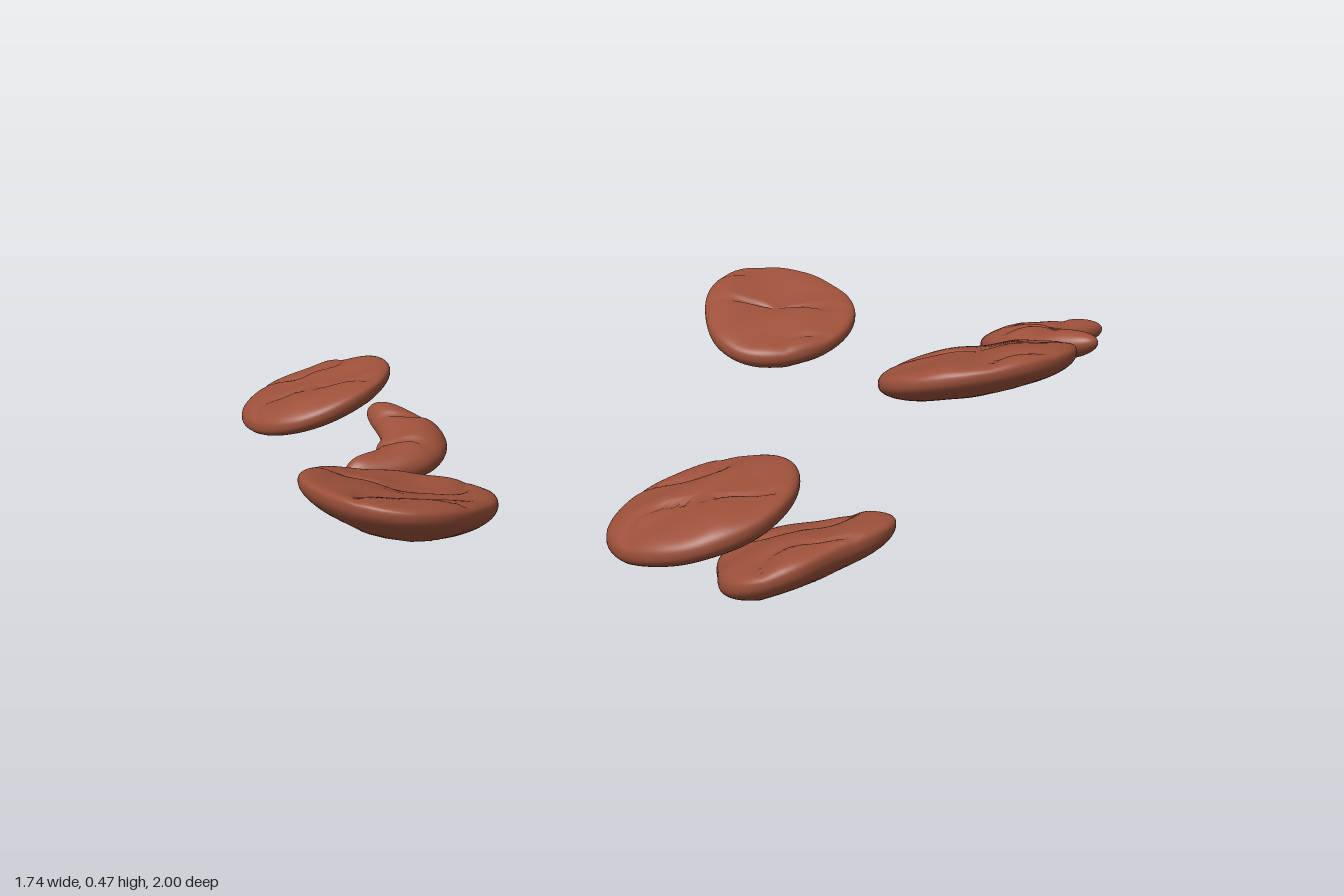
import * as THREE from 'three';
import { mergeVertices } from 'three/addons/utils/BufferGeometryUtils.js';

const RAD = Math.PI / 180;
const THICKNESS = 0.042; // half the height of a lump

// Round lumps: centre, radius r, oval [amount, degrees], three-sided bulge
// tri [amount, degrees], tilt [slope along x, slope along z], rim lift.
const ROUND = [
  { name: 'backRoundLump', at: [-0.04, 0.08, -0.815], r: 0.173, oval: [0.055, 90], tri: [0.03, -90], tilt: [0.25, 0.2], rim: 0.01 },
  { name: 'rightRoundLump', at: [-0.685, 0.2, 0.08], r: 0.187, oval: [0.03, 120], tri: [0.06, 135], tilt: [-0.22, 0], rim: 0.035 },
  { name: 'leftRoundLump', at: [0.47, 0.32, 0.13], r: 0.173, oval: [0.06, -55], tri: [0.05, 55], tilt: [0.26, -0.13], rim: 0.025 },
  { name: 'frontRightUpperLump', at: [-0.54, 0.28, 0.67], r: 0.168, oval: [0.04, 0], tri: [0.02, 120], tilt: [0.22, 0.2], rim: 0.01 },
  { name: 'frontRightLowerLump', at: [-0.39, 0.175, 0.76], r: 0.152, oval: [0.04, 30], tri: [0.13, 50], tilt: [0.08, 0.34], rim: 0.01 },
  { name: 'frontRoundLump', at: [0.13, 0.41, 0.82], r: 0.184, oval: [0.06, 10], tri: [0.03, -30], tilt: [-0.05, 0.26], rim: 0.01 },
];

// Curved lumps: bent path start, control, end (x, z) around a centre,
// half width at the middle and at the tips.
const CURVED = [
  { name: 'backCurvedLump', at: [-0.27, 0.125, -0.28], path: [[-0.2, -0.475], [-0.215, -0.185], [-0.44, -0.31]],
    width: 0.075, tip: 0.035, tilt: [0.14, -0.06], rim: 0.015 },
  { name: 'frontCurvedLump', at: [0.67, 0.32, 0.64], path: [[0.575, 0.85], [0.61, 0.488], [0.868, 0.72]],
    width: 0.09, tip: 0.04, tilt: [-0.13, 0.12], rim: 0.02 },
];

// Flat pebble whose radius varies around its centre
function roundShape({ r, oval, tri, rim }) {
  return (p) => {
    const angle = Math.atan2(p.z, p.x);
    const rho = Math.pow(Math.hypot(p.x, p.z), 0.76);
    const reach = r * rho * (1 + oval[0] * Math.cos(2 * (angle - oval[1] * RAD))
      + tri[0] * Math.cos(3 * (angle - tri[1] * RAD)));
    const height = Math.sign(p.y) * Math.pow(Math.abs(p.y), 0.8) * THICKNESS;
    p.set(Math.cos(angle) * reach, height + rim * (rho * rho - 0.5), Math.sin(angle) * reach);
  };
}

// Tapered crescent swept along a bent path, with lifted tips
function curvedShape({ at, path, width, tip, rim }) {
  const curve = new THREE.QuadraticBezierCurve(...path.map(([x, z]) => new THREE.Vector2(x - at[0], z - at[2])));
  return (p) => {
    const s = THREE.MathUtils.clamp(p.x, -1, 1);
    const ring = Math.max(Math.hypot(p.y, p.z), 1e-6);
    const end = Math.sqrt(1 - s ** 8);
    const belly = Math.cos(s * Math.PI / 2) ** 2;
    const centre = curve.getPoint((s + 1) / 2);
    const along = curve.getTangent((s + 1) / 2);
    const side = (p.z / ring) * end * (tip + (width - tip) * belly);
    const height = (p.y / ring) * end * THICKNESS * (0.8 + 0.2 * belly);
    p.set(centre.x - along.y * side, height + rim * (s * s - 0.5), centre.y + along.x * side);
  };
}

function makeLump(lump, base, shape, seed, material) {
  // weld the sphere first so shading is continuous
  base.deleteAttribute('uv');
  base.deleteAttribute('normal');
  const geo = mergeVertices(base, 1e-5);
  const pos = geo.attributes.position;
  const p = new THREE.Vector3();

  for (let i = 0; i < pos.count; i++) {
    p.fromBufferAttribute(pos, i);
    const up = p.y;
    shape(p);
    // soft dents and curved folds, strongest on the upper side
    const wave = Math.sin(p.x * 24 + seed * 2.1 + 2 * Math.sin(p.z * 17 + seed)) * Math.cos(p.z * 21 - seed * 1.3);
    const fold = (1 - Math.abs(Math.sin(p.x * 9 - p.z * 12 + seed + Math.sin(p.x * 20)))) ** 6;
    const relief = (wave * 0.007 - fold * 0.01) * (up > 0 ? up : -0.3 * up);
    p.y += relief + p.x * lump.tilt[0] + p.z * lump.tilt[1];
    pos.setXYZ(i, p.x, p.y, p.z);
  }
  geo.computeVertexNormals();

  const mesh = new THREE.Mesh(geo, material);
  mesh.name = lump.name;
  mesh.position.set(...lump.at);
  return mesh;
}

export function createModel() {
  const group = new THREE.Group();
  group.name = 'scatteredLumps';
  const clay = new THREE.MeshStandardMaterial({ color: 0x9c503a });

  ROUND.forEach((lump, i) => {
    group.add(makeLump(lump, new THREE.SphereGeometry(1, 72, 40), roundShape(lump), i + 1, clay));
  });
  // poles point along x, so they become the crescent tips
  CURVED.forEach((lump, i) => {
    const base = new THREE.SphereGeometry(1, 40, 64).rotateZ(Math.PI / 2);
    group.add(makeLump(lump, base, curvedShape(lump), i + 7, clay));
  });
  return group;
}
